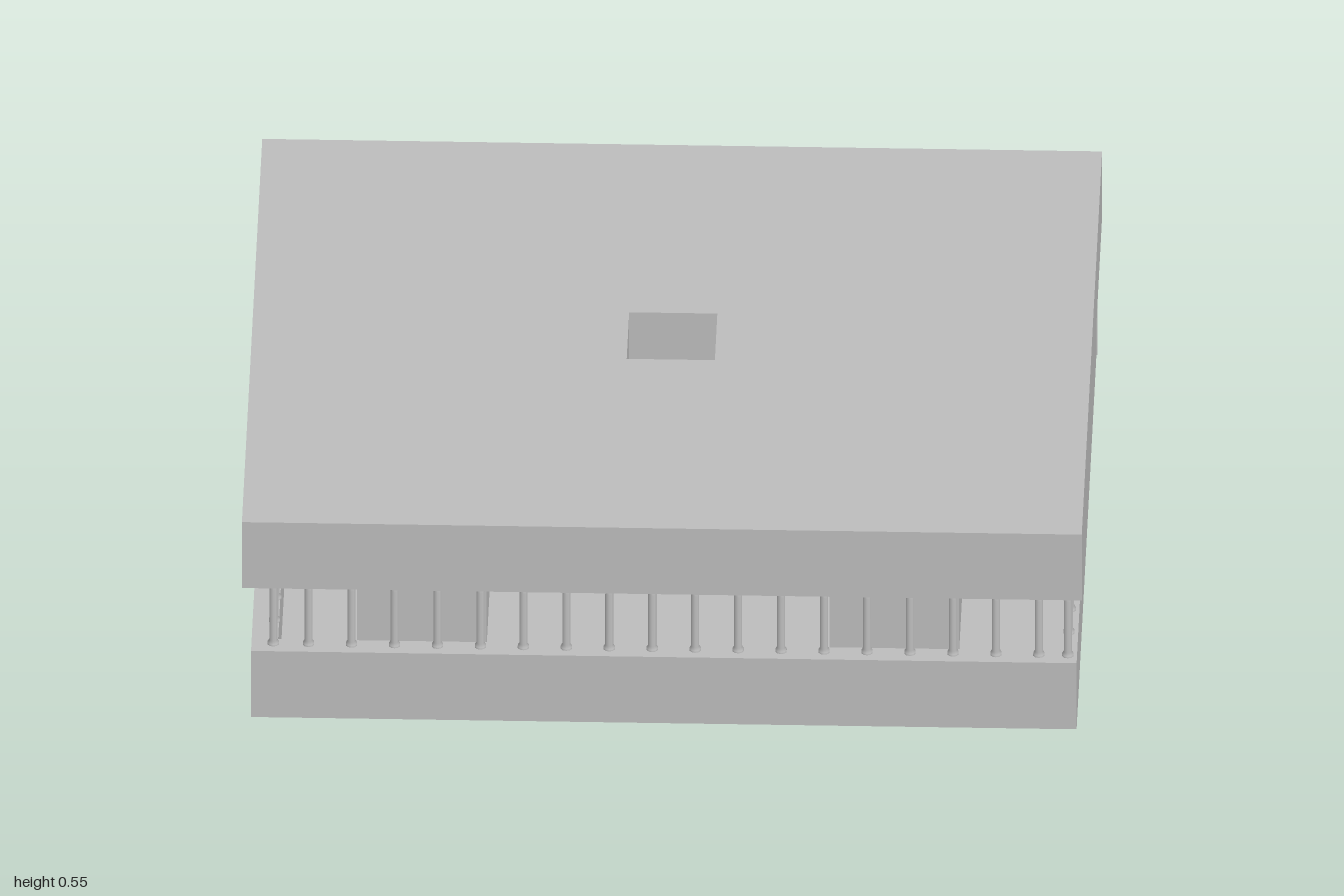
import * as THREE from 'three';

export function createModel() {
  const model = new THREE.Group();
  const stone = new THREE.MeshStandardMaterial({ color: 0xbcbcbc });
  stone.name = 'grey stone';

  const add = (name, geometry, x = 0, y = 0, z = 0, parent = model) => {
    const mesh = new THREE.Mesh(geometry, stone);
    mesh.name = name;
    mesh.position.set(x, y, z);
    parent.add(mesh);
    return mesh;
  };
  // Box given by its limits on each axis
  const block = (name, x0, x1, y0, y1, z0, z1, parent) =>
    add(name, new THREE.BoxGeometry(x1 - x0, y1 - y0, z1 - z0),
      (x0 + x1) / 2, (y0 + y1) / 2, (z0 + z1) / 2, parent);

  const FLOOR = 0.015, WALL = 0.195, CEILING = 0.365, TOP = 0.55;

  // Lower tray: recessed base plate and four thin walls
  block('floorPlate', -0.96, 0.955, 0, FLOOR, -0.83, 0.85);
  const walls = new THREE.Group();
  walls.name = 'lowerWalls';
  model.add(walls);
  block('frontWall', -0.978, 0.988, 0.01, WALL, 0.81, 0.865, walls);
  block('backWall', -0.98, 0.99, 0.01, WALL, -0.845, -0.815, walls);
  block('rightWall', -0.978, -0.915, 0.01, WALL, -0.815, 0.81, walls);
  block('leftWall', 0.945, 0.988, 0.01, WALL, -0.815, 0.81, walls);

  // Roof slab with a square light well
  const rect = (Kind, x0, x1, z0, z1) => new Kind().setFromPoints(
    [[x0, -z1], [x1, -z1], [x1, -z0], [x0, -z0]].map(p => new THREE.Vector2(...p)));
  const outline = rect(THREE.Shape, -1, 1, -0.865, 0.855);
  outline.holes.push(rect(THREE.Path, -0.105, 0.105, -0.112, 0.097));
  const roof = new THREE.ExtrudeGeometry(outline, { depth: TOP - CEILING, bevelEnabled: false });
  roof.rotateX(-Math.PI / 2);
  add('roofSlab', roof, 0, CEILING, 0);

  // Four square piers with flared capitals
  const capitalGeo = new THREE.CylinderGeometry(0.22 * Math.SQRT2, 0.154 * Math.SQRT2, 0.085, 4)
    .toNonIndexed();
  capitalGeo.rotateY(Math.PI / 4);
  capitalGeo.computeVertexNormals();
  for (const x of [-0.58, 0.545]) {
    for (const z of [0.4, -0.347]) {
      const pier = new THREE.Group();
      pier.name = 'pier';
      pier.position.set(x, 0, z);
      model.add(pier);
      block('pierShaft', -0.154, 0.154, FLOOR, 0.28, -0.154, 0.154, pier);
      add('pierCapital', capitalGeo, 0, 0.3225, 0, pier);
    }
  }

  // Slender colonnettes with a flared foot and a tapered head
  const profile = h => [[0.014, 0], [0.014, 0.005], [0.01, 0.012], [0.01, h - 0.016],
    [0.007, h - 0.006], [0.007, h]].map(p => new THREE.Vector2(...p));
  const colonnetteGeo = new THREE.LatheGeometry(profile(CEILING - WALL), 10);
  const tallGeo = new THREE.LatheGeometry(profile(CEILING - FLOOR), 10);
  const colonnade = new THREE.Group();
  colonnade.name = 'colonnade';
  model.add(colonnade);
  const post = (x, z) => add('colonnette', colonnetteGeo, x, WALL, z, colonnade);

  for (let i = 0; i < 18; i++) {
    const x = -0.842 + i * 0.1023;
    post(x, 0.83);
    post(x, -0.822);
  }
  for (let i = 0; i < 17; i++) {
    const z = 0.83 - i * 0.1025;
    post(-0.926, z);
    post(0.966, z);
  }
  // Inner posts around the light well
  for (const x of [-0.27, 0.252])
    for (const z of [0.215, -0.195]) add('innerPost', tallGeo, x, FLOOR, z, colonnade);

  return model;
}
